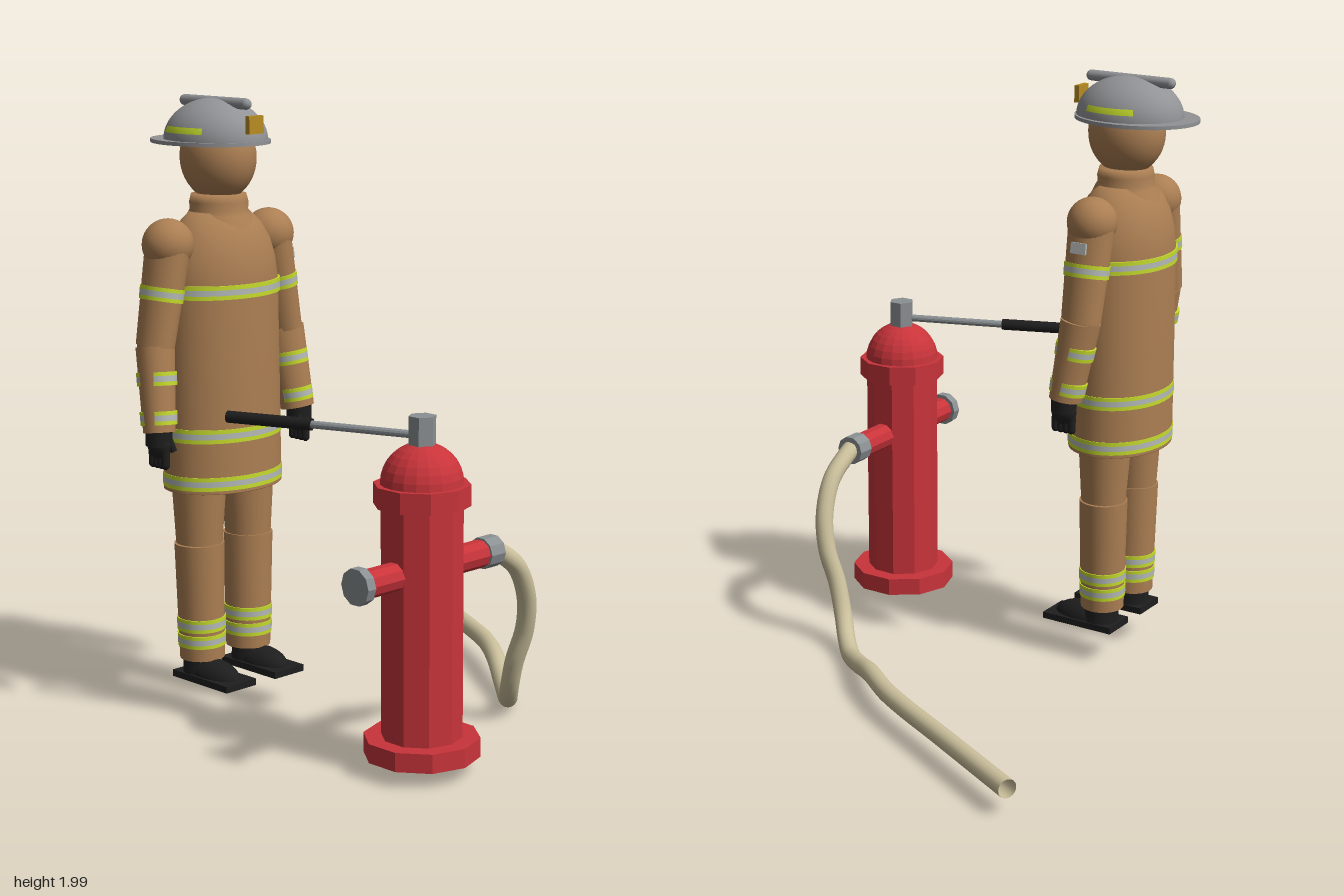
import * as THREE from 'three';

const material = (name, color, extra = {}) => {
  const m = new THREE.MeshStandardMaterial({ color, ...extra });
  m.name = name;
  return m;
};

export function createModel() {
  const coat = material('tan fabric', 0xac7f53);
  const red = material('hydrant red', 0xc8343a, { flatShading: true });
  const metal = material('metal', 0x8b9093, { flatShading: true });
  const helmetGrey = material('helmet grey', 0x929396);
  const yellow = material('safety yellow', 0xc6dc2c);
  const silver = material('reflective silver', 0xb4bab8);
  const black = material('black rubber', 0x1e1e1e);
  const canvas = material('hose canvas', 0xcbc09c, { side: THREE.DoubleSide });
  const gold = material('badge gold', 0xb98c22);

  const model = new THREE.Group();
  model.name = 'firefighterAndHydrant';

  const add = (parent, name, geometry, mat, x = 0, y = 0, z = 0) => {
    const mesh = new THREE.Mesh(geometry, mat);
    mesh.name = name;
    mesh.position.set(x, y, z);
    parent.add(mesh);
    return mesh;
  };
  const V = (x, y, z) => new THREE.Vector3(x, y, z);
  const UP = V(0, 1, 0);

  // Tapered cylinder from a to b; sx flattens it sideways
  const limb = (parent, name, a, b, ra, rb, mat, sides = 24, sx = 1) => {
    const dir = b.clone().sub(a);
    const g = new THREE.CylinderGeometry(rb, ra, dir.length(), sides).scale(sx, 1, 1);
    const mid = a.clone().add(b).multiplyScalar(0.5);
    const mesh = add(parent, name, g, mat, mid.x, mid.y, mid.z);
    mesh.quaternion.setFromUnitVectors(UP, dir.normalize());
    return mesh;
  };

  // Yellow-silver-yellow band around a limb, centred at height y
  const limbBand = (parent, a, b, ra, rb, y, sx = 1) => {
    for (const [lo, hi, mat] of [[-0.021, -0.009, yellow], [-0.009, 0.009, silver], [0.009, 0.021, yellow]]) {
      const t0 = (y + lo - a.y) / (b.y - a.y), t1 = (y + hi - a.y) / (b.y - a.y);
      const radius = t => ra + (rb - ra) * t + 0.004;
      limb(parent, 'reflectiveBand', a.clone().lerp(b, t0), a.clone().lerp(b, t1), radius(t0), radius(t1), mat, 24, sx);
    }
  };

  // ---- Firefighter ----
  const man = new THREE.Group();
  man.name = 'firefighter';
  man.position.set(-0.47, 0, -0.35);
  model.add(man);

  // Coat: elliptical lathe closed at the hem
  const profile = [[0, 0.755], [0.21, 0.755], [0.208, 1.1], [0.205, 1.42], [0.196, 1.49], [0.178, 1.55],
    [0.148, 1.6], [0.105, 1.64], [0, 1.65]].map(p => new THREE.Vector2(...p));
  // Repeated hem point keeps the lower edge sharp
  profile.splice(2, 0, new THREE.Vector2(0.21, 0.757));
  add(man, 'coat', new THREE.LatheGeometry(profile, 40), coat).scale.z = 0.77;
  for (const y of [1.4, 0.942, 0.788]) {
    for (const [dy, h, mat] of [[-0.0155, 0.013, yellow], [0, 0.018, silver], [0.0155, 0.013, yellow]]) {
      add(man, 'coatBand', new THREE.CylinderGeometry(0.212, 0.212, h, 40), mat, 0, y + dy, 0).scale.z = 0.77;
    }
  }

  // Collar and head
  const collar = [[0.12, 1.59], [0.102, 1.63], [0.093, 1.645], [0.094, 1.67], [0.088, 1.695], [0, 1.7]];
  add(man, 'collar', new THREE.LatheGeometry(collar.map(p => new THREE.Vector2(...p)), 32), coat);
  add(man, 'head', new THREE.SphereGeometry(1, 32, 24).scale(0.115, 0.14, 0.13), coat, 0, 1.81, 0);

  // Helmet
  const helmet = new THREE.Group();
  helmet.name = 'helmet';
  helmet.position.set(0, 1.862, -0.01);
  man.add(helmet);
  add(helmet, 'helmetDome', new THREE.SphereGeometry(1, 40, 16, 0, Math.PI * 2, 0, Math.PI / 2).scale(0.152, 0.134, 0.182), helmetGrey);
  add(helmet, 'brim', new THREE.CylinderGeometry(1, 1, 0.012, 48).scale(0.173, 1, 0.212), helmetGrey, 0, -0.002, -0.026);
  add(helmet, 'helmetRidge', new THREE.CapsuleGeometry(0.018, 0.29, 6, 12).rotateX(Math.PI / 2), helmetGrey, 0, 0.12, 0);
  add(helmet, 'badge', new THREE.BoxGeometry(0.06, 0.056, 0.018), gold, 0, 0.058, 0.184);
  for (const phi of [0, Math.PI]) {
    const strip = new THREE.SphereGeometry(1, 16, 3, phi - 0.5, 1, 1.21, 0.15);
    add(helmet, 'helmetStripe', strip.scale(0.155, 0.136, 0.185), yellow);
  }

  // Arms and legs, mirrored by side
  for (const s of [-1, 1]) {
    const side = s > 0 ? 'left' : 'right';
    const arm = new THREE.Group();
    arm.name = side + 'Arm';
    man.add(arm);
    const shoulder = V(s * 0.212, 1.55, 0), elbow = V(s * 0.272, 1.235, 0), wrist = V(s * 0.295, 0.97, 0.04);
    add(arm, 'shoulder', new THREE.SphereGeometry(0.082, 28, 20), coat, ...shoulder.toArray());
    limb(arm, 'upperSleeve', shoulder, elbow, 0.08, 0.068, coat, 24, 0.82);
    add(arm, 'elbow', new THREE.SphereGeometry(0.062, 20, 14), coat, ...elbow.toArray()).scale.x = 0.88;
    limb(arm, 'forearmSleeve', elbow, wrist, 0.068, 0.056, coat, 24, 0.9);
    limbBand(arm, shoulder, elbow, 0.08, 0.068, 1.397, 0.82);
    for (const y of [1.135, 1.014]) limbBand(arm, elbow, wrist, 0.068, 0.056, y, 0.9);

    // Glove with fingers and thumb
    const glove = new THREE.Group();
    glove.name = side + 'Glove';
    glove.position.set(s * 0.3, 0, 0.043);
    arm.add(glove);
    add(glove, 'gloveCuff', new THREE.CylinderGeometry(0.042, 0.042, 0.05, 20), black, 0, 0.955, 0);
    add(glove, 'palm', new THREE.SphereGeometry(1, 20, 14).scale(0.03, 0.045, 0.045), black, 0, 0.93, 0);
    for (let i = 0; i < 4; i++) {
      add(glove, 'finger', new THREE.CapsuleGeometry(0.014, 0.045, 4, 10), black, 0, 0.892, -0.03 + i * 0.02);
    }
    limb(glove, 'thumb', V(-s * 0.018, 0.955, 0.02), V(-s * 0.03, 0.91, 0.035), 0.014, 0.011, black, 12);

    // Trouser leg
    const leg = new THREE.Group();
    leg.name = side + 'Leg';
    man.add(leg);
    const hip = V(s * 0.102, 0.8, 0), knee = V(s * 0.105, 0.575, 0), ankle = V(s * 0.1, 0.19, 0);
    limb(leg, 'thigh', hip, knee, 0.09, 0.075, coat);
    limb(leg, 'shin', knee, ankle, 0.081, 0.073, coat);
    for (const y of [0.308, 0.254]) limbBand(leg, knee, ankle, 0.081, 0.073, y);

    // Boot
    const boot = new THREE.Group();
    boot.name = side + 'Boot';
    boot.position.x = s * 0.105;
    man.add(boot);
    add(boot, 'bootShaft', new THREE.CylinderGeometry(0.058, 0.06, 0.07, 20), black, 0, 0.165, 0);
    add(boot, 'bootToe', new THREE.SphereGeometry(1, 24, 12, 0, Math.PI * 2, 0, Math.PI / 2).scale(0.056, 0.055, 0.115), black, 0, 0.138, 0.06);
    add(boot, 'sole', new THREE.BoxGeometry(0.126, 0.022, 0.265), black, 0, 0.131, 0.062);
  }
  // Sleeve patch on one arm
  const patch = add(man, 'sleevePatch', new THREE.BoxGeometry(0.009, 0.036, 0.055), silver, 0.295, 1.48, 0);
  patch.rotation.z = 0.15;

  // ---- Hydrant ----
  const hydrant = new THREE.Group();
  hydrant.name = 'hydrant';
  hydrant.position.set(-0.475, 0, 0.553);
  model.add(hydrant);
  const drum = (name, r, y0, y1, mat, sides = 10) =>
    add(hydrant, name, new THREE.CylinderGeometry(r, r, y1 - y0, sides), mat, 0, (y0 + y1) / 2, 0);
  drum('hydrantBase', 0.18, 0.055, 0.115, red);
  drum('hydrantBody', 0.125, 0.1, 0.85, red);
  drum('hydrantCollar', 0.148, 0.835, 0.9, red);
  add(hydrant, 'hydrantDome', new THREE.SphereGeometry(0.127, 20, 8, 0, Math.PI * 2, 0, Math.PI / 2), red, 0, 0.898, 0);
  drum('topNut', 0.043, 1.01, 1.105, metal, 6);

  // Side outlets and fittings
  const outlet = (name, x0, x1, r, mat) => limb(hydrant, name, V(x0, 0.635, 0), V(x1, 0.635, 0), r, r, mat, 10);
  outlet('outletPipe', -0.25, 0.262, 0.044, red);
  outlet('outletCap', -0.282, -0.25, 0.057, metal);
  outlet('hoseCoupling', 0.258, 0.32, 0.05, metal);

  // Wrench
  const joint = V(-0.475, 1.045, 0.553), grip = V(-0.595, 1.045, 0.205), tip = V(-0.695, 1.045, -0.065);
  limb(model, 'wrenchRod', joint, grip, 0.012, 0.012, metal, 12);
  limb(model, 'wrenchGrip', grip, tip, 0.019, 0.019, black, 16);

  // Hose: open tube that drops to the ground and runs off to the back
  const path = new THREE.CatmullRomCurve3([
    V(-0.165, 0.64, 0.553), V(-0.13, 0.622, 0.553), V(-0.05, 0.56, 0.555), V(0.01, 0.45, 0.543),
    V(0.032, 0.335, 0.518), V(0.03, 0.22, 0.478), V(0.055, 0.115, 0.435), V(0.1, 0.06, 0.39),
    V(0.165, 0.037, 0.325), V(0.25, 0.055, 0.225), V(0.335, 0.084, 0.12), V(0.44, 0.09, -0.02),
    V(0.51, 0.09, -0.145), V(0.6, 0.09, -0.325), V(0.8, 0.09, -0.715),
  ]);
  add(model, 'hose', new THREE.TubeGeometry(path, 110, 0.031, 16), canvas);

  return model;
}
